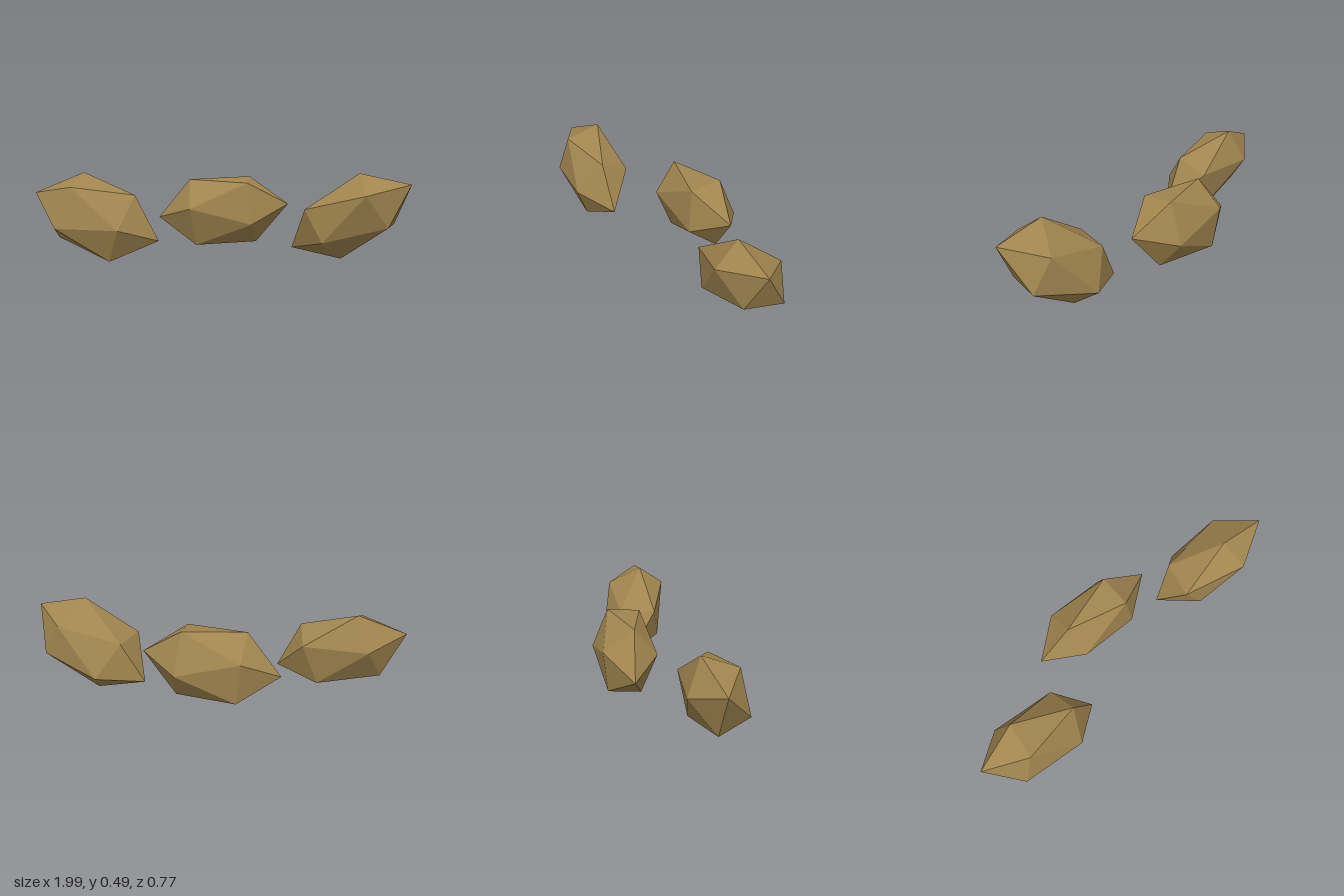
import * as THREE from 'three';

// Each rock is an icosahedron, stretched and turned by three axis vectors.
const ROCKS = [
  { name: 'rightRock', centre: [-0.667, 0.249, -0.075],
    axes: [[0.255, -0.104, 0.194], [0.085, 0.212, -0.010], [-0.216, 0.070, 0.079]] },
  { name: 'middleRock', centre: [0.063, 0.247, -0.204],
    axes: [[0.189, -0.142, 0.125], [0.306, 0.141, 0.051], [-0.056, 0.117, 0.148]] },
  { name: 'leftRock', centre: [0.708, 0.249, 0.168],
    axes: [[-0.123, -0.221, 0.008], [0.264, 0.086, 0.187], [-0.146, 0.110, 0.135]] },
];

function makeRock({ name, centre, axes }, material) {
  const stretch = new THREE.Matrix4().makeBasis(...axes.map((a) => new THREE.Vector3(...a)));
  // detail 0 keeps every facet flat
  const geometry = new THREE.IcosahedronGeometry(1, 0).applyMatrix4(stretch);
  const rock = new THREE.Mesh(geometry, material);
  rock.name = name;
  rock.position.set(...centre);
  return rock;
}

export function createModel() {
  const group = new THREE.Group();
  group.name = 'rocks';
  const sandstone = new THREE.MeshStandardMaterial({ color: 0xa1854f });
  sandstone.name = 'sandstone';
  for (const spec of ROCKS) group.add(makeRock(spec, sandstone));
  return group;
}
